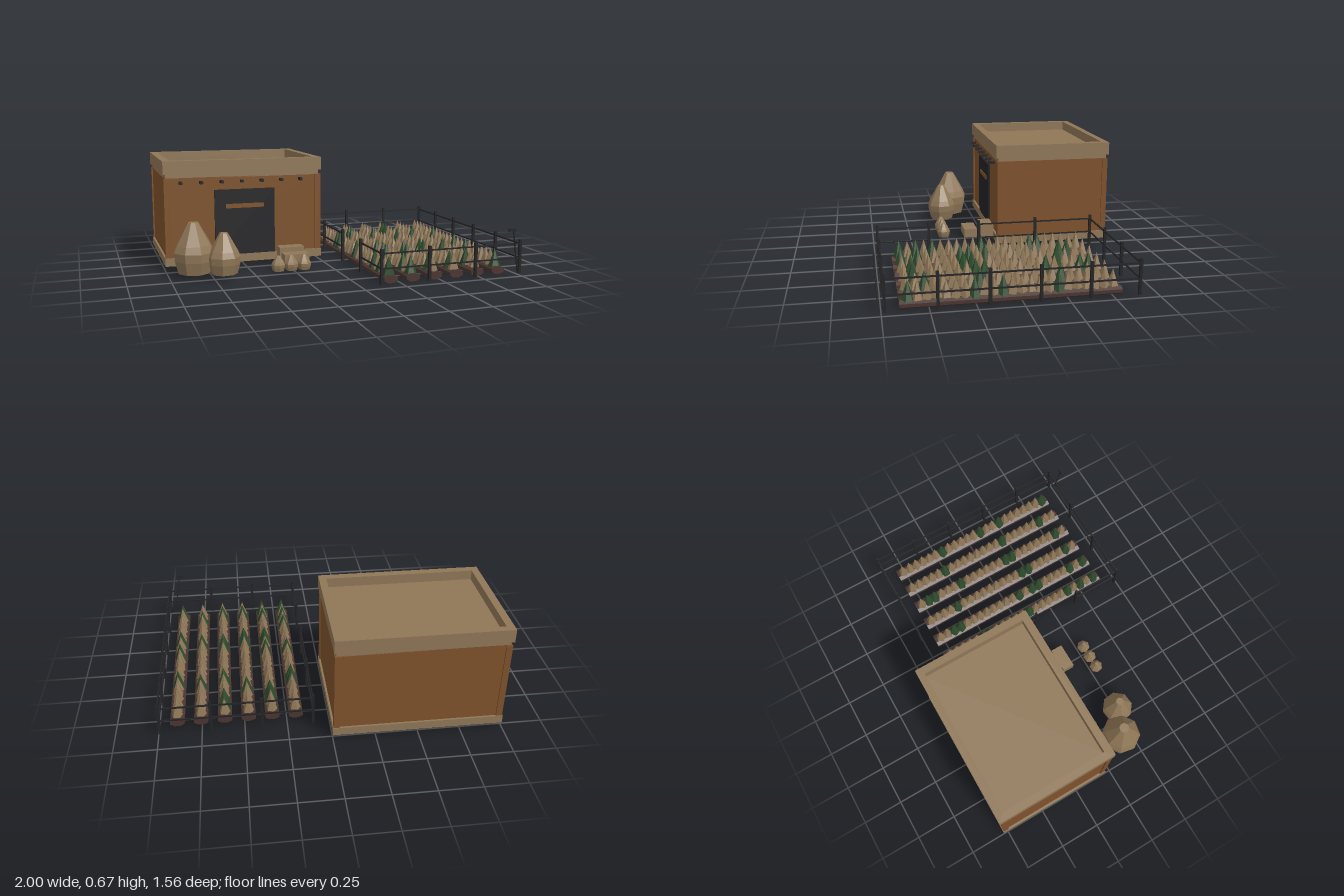
import * as THREE from 'three';

const mat = (name, color) => {
  const m = new THREE.MeshStandardMaterial({ color, flatShading: true });
  m.name = name;
  return m;
};

export function createModel() {
  const model = new THREE.Group();
  model.name = 'farmstead';
  const sand = mat('sand', 0x8f7757);
  const clay = mat('clay', 0x7e512b);
  const iron = mat('iron', 0x242426);
  const soil = mat('soil', 0x4a3530);
  const leaf = mat('leaf', 0x2c4a2c);

  const add = (parent, name, geo, material, x = 0, y = 0, z = 0) => {
    const m = new THREE.Mesh(geo, material);
    m.name = name;
    m.position.set(x, y, z);
    parent.add(m);
    return m;
  };
  // Box given by its two extreme corners
  const box = (parent, name, material, x0, x1, y0, y1, z0, z1) =>
    add(parent, name, new THREE.BoxGeometry(x1 - x0, y1 - y0, z1 - z0), material,
      (x0 + x1) / 2, (y0 + y1) / 2, (z0 + z1) / 2);
  const group = (name) => {
    const g = new THREE.Group();
    g.name = name;
    model.add(g);
    return g;
  };

  // House: plinth, walls, corner posts, trim and roof
  const house = group('house');
  box(house, 'plinth', sand, -1, 0, 0.03, 0.08, -0.778, -0.037);
  box(house, 'walls', clay, -0.988, -0.012, 0.08, 0.57, -0.765, -0.05);
  for (const x of [-0.978, -0.022])
    for (const z of [-0.757, -0.058])
      box(house, 'cornerPost', clay, x - 0.018, x + 0.018, 0.08, 0.567, z - 0.017, z + 0.017);
  box(house, 'trim', sand, -0.985, -0.015, 0.565, 0.615, -0.765, -0.05);

  // Parapet ring around the sunken roof
  const rect = (P, x0, x1, y0, y1) => {
    const p = new P();
    p.moveTo(x0, y0).lineTo(x1, y0).lineTo(x1, y1).lineTo(x0, y1).closePath();
    return p;
  };
  const ring = rect(THREE.Shape, -1, 0, 0.035, 0.78);
  ring.holes.push(rect(THREE.Path, -0.955, -0.045, 0.083, 0.738));
  const parapet = add(house, 'parapet',
    new THREE.ExtrudeGeometry(ring, { depth: 0.08, bevelEnabled: false }), sand, 0, 0.595, 0);
  parapet.rotation.x = -Math.PI / 2;

  // Door with slot, and beam ends above it
  box(house, 'door', iron, -0.69, -0.31, 0.08, 0.49, -0.055, -0.038);
  box(house, 'doorSlot', clay, -0.62, -0.38, 0.373, 0.4, -0.04, -0.033);
  for (let i = 0; i < 7; i++) {
    const x = -0.897 + i * 0.126;
    box(house, 'beamEnd', iron, x - 0.009, x + 0.009, 0.533, 0.549, -0.06, -0.008);
  }

  // Steps
  const steps = group('steps');
  box(steps, 'upperStep', sand, -0.298, -0.14, 0.04, 0.117, -0.04, 0.042);
  box(steps, 'lowerStep', sand, -0.298, -0.14, 0.04, 0.095, 0.07, 0.155);

  // Tapering storage jars
  const jars = group('jars');
  const jar = (name, x, z, r, h, sides, turn) => {
    const profile = [[0, 0], [0.8, 0], [0.97, 0.25], [1, 0.42], [0.86, 0.56], [0.25, 1], [0, 1]]
      .map(([a, b]) => new THREE.Vector2(a * r, b * h));
    add(jars, name, new THREE.LatheGeometry(profile, sides), sand, x, 0.033, z).rotation.y = turn;
  };
  jar('largeJar', -0.855, 0.163, 0.122, 0.3, 8, 0.2);
  jar('mediumJar', -0.692, 0.243, 0.097, 0.242, 8, 0.5);
  for (let i = 0; i < 3; i++) jar('smallJar', -0.375 + i * 0.08, 0.285, 0.042, 0.092, 7, i);

  // Planted beds: each list gives the places of the green plants, from the front
  const greens = [
    [0, 2, 4, 10, 16, 17], [0, 2, 7, 8, 10, 19, 20], [1, 7, 8, 18],
    [0.5, 8, 9, 16, 20, 21], [2, 8, 17], [0, 7, 10, 16],
  ].map((row) => row.map(Math.ceil));
  const field = group('field');
  const bedGeo = new THREE.CylinderGeometry(0.0455, 0.0455, 1.21, 8)
    .rotateY(Math.PI / 8).rotateX(Math.PI / 2).scale(1, 0.54, 1);
  const greenGeo = new THREE.ConeGeometry(0.039, 0.115, 6);
  const dryGeo = new THREE.ConeGeometry(0.034, 0.11, 5);
  greens.forEach((row, r) => {
    const x = 0.195 + r * 0.14;
    add(field, 'bed', bedGeo, soil, x, 0.023, 0.05);
    for (let i = 0; i < 23; i++) {
      const green = row.includes(i) && !(r === 3 && i === 0);
      const plant = add(field, green ? 'greenPlant' : 'dryPlant', green ? greenGeo : dryGeo,
        green ? leaf : sand, x, 0.094, 0.61 - i * 0.0509);
      plant.rotation.y = r * 1.3 + i * 2.1;
      plant.scale.y = green ? 1 : 0.92 + 0.08 * Math.sin(i * 5 + r * 3);
    }
  });

  // Fence with a gap for the gate on the house side
  const fence = group('fence');
  const post = (x, z) => box(fence, 'post', iron, x - 0.008, x + 0.008, 0.018, 0.222, z - 0.008, z + 0.008);
  const rails = (x0, x1, z0, z1) => {
    for (const y of [0.11, 0.197])
      box(fence, 'rail', iron, x0 - 0.004, x1 + 0.004, y - 0.004, y + 0.004, z0 - 0.004, z1 + 0.004);
  };
  const [L, R, B, F] = [0.1, 0.99, -0.632, 0.733];
  for (const z of [B, F]) {
    for (let i = 0; i < 4; i++) post(L + (i * (R - L)) / 3, z);
    rails(L, R, z, z);
  }
  for (let i = 1; i < 5; i++) post(R, B + (i * (F - B)) / 5);
  for (const z of [-0.266, 0.1, 0.415]) post(L, z);
  rails(R, R, B, F);
  rails(L, L, B, 0.1);
  rails(L, L, 0.415, F);

  // Hoe leaning at the front corner
  const hoe = group('hoe');
  const foot = new THREE.Vector3(0.957, 0.035, 0.763);
  const top = new THREE.Vector3(0.912, 0.295, 0.776);
  add(hoe, 'hoeHandle', new THREE.TubeGeometry(new THREE.LineCurve3(foot, top), 1, 0.004, 6), iron);
  box(hoe, 'hoeHead', iron, 0.882, 0.93, 0.282, 0.298, 0.77, 0.78);

  return model;
}
